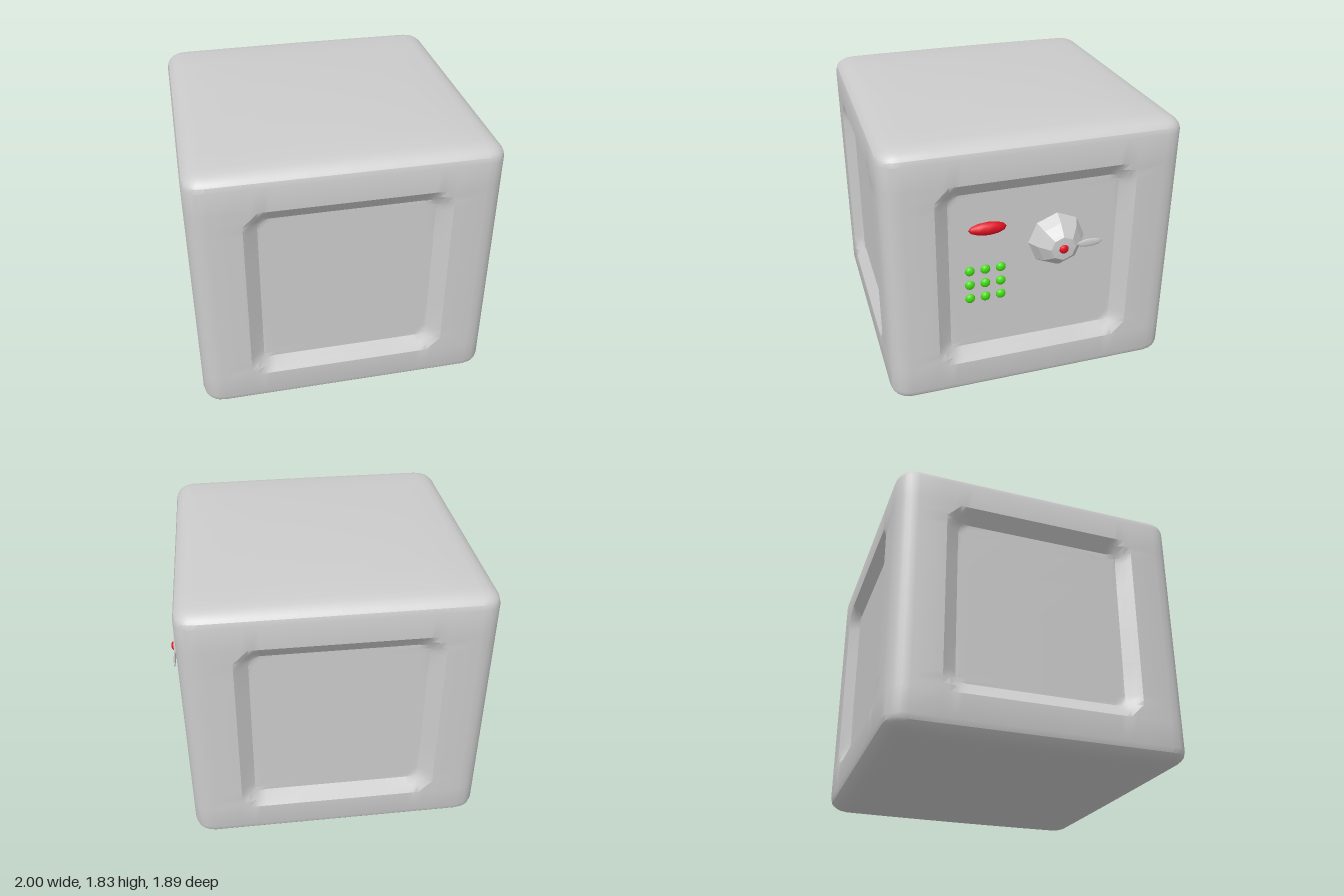
import * as THREE from 'three';
import { mergeVertices, toCreasedNormals } from 'three/addons/utils/BufferGeometryUtils.js';

const HALF = [0.957, 0.88, 0.947];
const ROUND = [0.13, 0.085, 0.13];
const CENTER = [-0.043, 0.92, 0];
const FLOOR_X = 0.849; // surface of the recessed panel on the +x side

const material = (color, flatShading = false) => new THREE.MeshStandardMaterial({ color, flatShading });

// How far a point of a side face sinks into its rounded-square panel
function panelDepth(u, v) {
  const half = 0.635, r = 0.16, slope = 0.09, depth = 0.065;
  const a = Math.abs(u) - half + r, b = Math.abs(v) - half + r;
  const dist = Math.hypot(Math.max(a, 0), Math.max(b, 0)) + Math.min(Math.max(a, b), 0) - r;
  return depth * THREE.MathUtils.clamp(-dist / slope, 0, 1);
}

// Rounded cube with a sunken panel on each of four sides and a gently domed top and base
function bodyGeometry() {
  const stops = HALF.map((h, i) => {
    const core = h - ROUND[i];
    const positive = [0.25, 0.475, 0.515, 0.545, 0.59, 0.635, core, core + ROUND[i] * 0.41, core + ROUND[i] * 0.7, h];
    return [...positive.map((s) => -s).reverse(), 0, ...positive];
  });
  const n = stops[0].length - 1;
  const geo = new THREE.BoxGeometry(n, n, n, n, n, n);
  geo.deleteAttribute('normal');
  geo.deleteAttribute('uv');
  const pos = geo.attributes.position;
  for (let i = 0; i < pos.count; i++) {
    const p = [0, 1, 2].map((k) => stops[k][Math.round(pos.getComponent(i, k) + n / 2)]);
    const core = p.map((c, k) => THREE.MathUtils.clamp(c, ROUND[k] - HALF[k], HALF[k] - ROUND[k]));
    const d = p.map((c, k) => (c - core[k]) / ROUND[k]);
    const len = Math.hypot(...d);
    const q = core.map((c, k) => c + (d[k] / len) * ROUND[k]);
    // Sink the panels
    if (Math.abs(p[0]) === HALF[0]) q[0] -= Math.sign(p[0]) * panelDepth(p[1], p[2]);
    if (Math.abs(p[2]) === HALF[2]) q[2] -= Math.sign(p[2]) * panelDepth(p[0], p[1]);
    // Dome the top and base
    if (Math.abs(p[1]) === HALF[1]) {
      q[1] += Math.sign(p[1]) * 0.037 * (1 - (p[0] / HALF[0]) ** 2) * (1 - (p[2] / HALF[2]) ** 2);
    }
    pos.setXYZ(i, q[0] + CENTER[0], q[1] + CENTER[1], q[2] + CENTER[2]);
  }
  return toCreasedNormals(mergeVertices(geo, 1e-4), 0.4);
}

export function createModel() {
  const model = new THREE.Group();
  model.name = 'safe';

  const add = (name, geometry, mat, x = 0, y = 0, z = 0, parent = model) => {
    const mesh = new THREE.Mesh(geometry, mat);
    mesh.name = name;
    mesh.position.set(x, y, z);
    parent.add(mesh);
    return mesh;
  };
  const ellipsoid = (rx, ry, rz, w = 12, h = 8) => new THREE.SphereGeometry(1, w, h).scale(rx, ry, rz);

  add('body', bodyGeometry(), material(0xcccccc));

  // Red display
  const red = material(0xe01020);
  const displayGeo = new THREE.SphereGeometry(1, 8, 6).rotateX(Math.PI / 2).scale(0.04, 0.045, 0.12);
  add('display', displayGeo, red, FLOOR_X, 1.217, 0.3);

  // Keypad of nine green buttons
  const keypad = new THREE.Group();
  keypad.name = 'keypad';
  model.add(keypad);
  const keyGeo = ellipsoid(0.022, 0.032, 0.032);
  const green = material(0x44dd10);
  for (const y of [0.73, 0.83, 0.93]) {
    for (const z of [0.215, 0.315, 0.415]) add('key', keyGeo, green, FLOOR_X, y, z, keypad);
  }

  // Eight-sided dial with a red centre pin and a pale lever
  const profile = [[0.19, 0.84], [0.145, 0.915], [0.095, 0.967], [0.08, 0.98], [0, 0.984]];
  const dialGeo = new THREE.LatheGeometry(profile.map(([r, h]) => new THREE.Vector2(r, h)), 8);
  dialGeo.rotateZ(-Math.PI / 2);
  add('dial', dialGeo, material(0xcccccc, true), 0, 1.07, -0.147);
  add('dialPin', ellipsoid(0.016, 0.03, 0.03), red, 0.984, 1.07, -0.147);
  add('dialLever', ellipsoid(0.007, 0.027, 0.082), material(0xf0f0f0), 0.972, 1.082, -0.318);

  return model;
}
